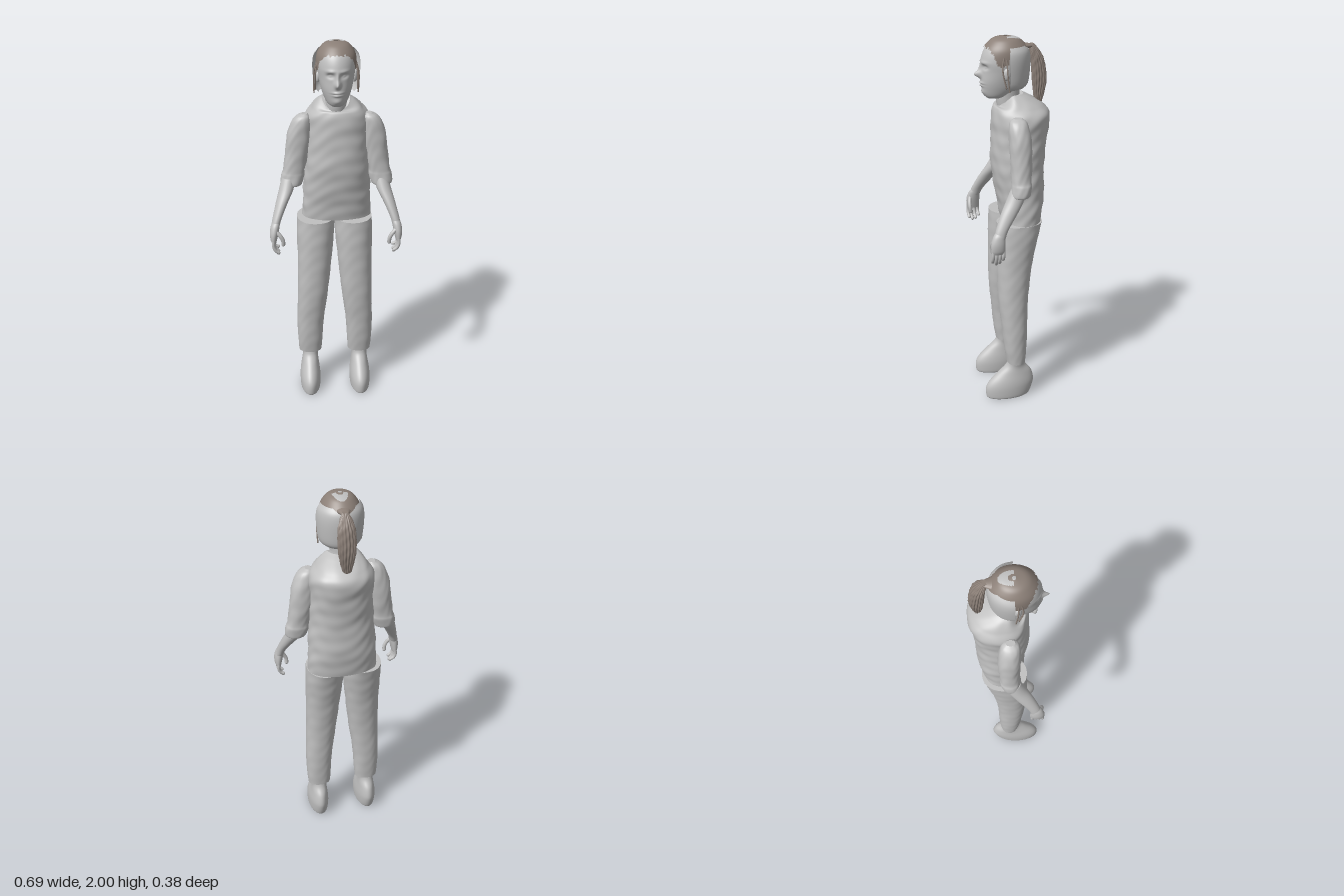
import * as THREE from 'three';

const clay = new THREE.MeshStandardMaterial({ color: 0xc0c0c0, side: THREE.DoubleSide });
clay.name = 'clay grey';
const brown = new THREE.MeshStandardMaterial({ color: 0x8c8078, side: THREE.DoubleSide });
brown.name = 'hair brown';

// Lofts rounded cross-sections [y, cx, cz, rx, rz], listed from the bottom up.
// warp moves each point; sort returns 0 or 1 (material) or -1 (no face).
function loft(sections, { rows = 40, seg = 40, power = 2, warp, sort, caps = true } = {}) {
  const centre = new THREE.CatmullRomCurve3(sections.map(s => new THREE.Vector3(s[1], s[0], s[2])), false, 'catmullrom');
  const radius = new THREE.CatmullRomCurve3(sections.map(s => new THREE.Vector3(s[3], 0, s[4])), false, 'catmullrom');
  const pos = [], lists = [[], []];
  const curl = v => Math.sign(v) * Math.pow(Math.abs(v), 2 / power);
  for (let i = 0; i <= rows; i++) {
    const c = centre.getPoint(i / rows), r = radius.getPoint(i / rows);
    for (let j = 0; j < seg; j++) {
      const a = j / seg * Math.PI * 2;
      const p = new THREE.Vector3(c.x + r.x * curl(Math.cos(a)), c.y, c.z + r.z * curl(Math.sin(a)));
      if (warp) warp(p, a, c);
      pos.push(p.x, p.y, p.z);
    }
  }
  for (let i = 0; i < rows; i++) for (let j = 0; j < seg; j++) {
    const a = i * seg + j, b = i * seg + (j + 1) % seg, c = a + seg, d = b + seg;
    const k = sort ? sort(pos[a * 3], pos[a * 3 + 1], pos[a * 3 + 2]) : 0;
    if (k >= 0) lists[k].push(a, c, b, b, c, d);
  }
  if (caps) for (const row of [0, rows]) {
    const start = pos.length / 3, mid = [0, 0, 0];
    for (let j = 0; j < seg; j++) for (let k = 0; k < 3; k++) {
      const v = pos[(row * seg + j) * 3 + k];
      pos.push(v);
      mid[k] += v / seg;
    }
    pos.push(...mid);
    for (let j = 0; j < seg; j++) {
      const a = start + j, b = start + (j + 1) % seg, m = start + seg;
      lists[0].push(...(row ? [a, m, b] : [a, b, m]));
    }
  }
  const g = new THREE.BufferGeometry();
  g.setAttribute('position', new THREE.Float32BufferAttribute(pos, 3));
  g.setIndex([...lists[0], ...lists[1]]);
  if (lists[1].length) {
    g.addGroup(0, lists[0].length, 0);
    g.addGroup(lists[0].length, lists[1].length, 1);
  }
  g.computeVertexNormals();
  return g;
}

// Soft cloth folds pushed outwards from the section centre.
const folds = amount => (p, a, c) => {
  const n = Math.sin(p.y * 62 + 2.2 * Math.sin(a * 3)) * Math.sin(a * 5 + p.y * 17) + 0.5 * Math.sin(p.y * 37 + a * 4);
  const k = 1 + amount * n;
  p.x = c.x + (p.x - c.x) * k;
  p.z = c.z + (p.z - c.z) * k;
};
const bump = (x, y, wx, wy) => Math.exp(-((x / wx) ** 2) - ((y / wy) ** 2));

const headSections = [
  [1.69, .006, .085, .03, .04], [1.705, .006, .07, .05, .07], [1.74, .006, .05, .068, .102],
  [1.78, .006, .044, .08, .113], [1.83, .006, .035, .09, .119], [1.88, .006, .033, .095, .123],
  [1.93, .006, .03, .09, .11], [1.965, .006, .03, .07, .082], [1.985, .006, .03, .045, .052],
  [1.994, .006, .03, .004, .004],
];

// Nose, eye sockets, brow, lips and chin.
function face(p) {
  if (p.z < 0.09) return;
  const x = p.x - 0.006, y = p.y, ax = Math.abs(x);
  p.z += 0.034 * bump(x, y - 1.813, .013, .017) + 0.013 * bump(x, y - 1.84, .009, .025)
    + 0.009 * bump(x, y - 1.77, .025, .006) + 0.008 * bump(x, y - 1.757, .02, .006)
    - 0.006 * bump(x, y - 1.7635, .026, .003) + 0.007 * bump(x, y - 1.722, .025, .015)
    - 0.015 * bump(ax - .034, y - 1.853, .018, .011) + 0.008 * bump(ax - .034, y - 1.852, .01, .005)
    + 0.005 * bump(ax - .034, y - 1.876, .024, .008);
}

export function createModel() {
  const model = new THREE.Group();
  const add = (name, geometry, material = clay, parent = model) => {
    const m = new THREE.Mesh(geometry, material);
    m.name = name;
    parent.add(m);
    return m;
  };
  const rod = (name, points, r, material = clay) => {
    const path = new THREE.CatmullRomCurve3(points.map(p => new THREE.Vector3(...p)));
    add(name, new THREE.TubeGeometry(path, 10, r, 10), material);
    const tip = add(name + 'Tip', new THREE.SphereGeometry(r, 10, 8), material);
    tip.position.set(...points[points.length - 1]);
  };

  // Shirt body with a collar that dips at the front
  const shirtFolds = folds(0.014);
  add('shirt', loft([
    [1.04, .013, -.043, .183, .102], [1.12, .013, -.042, .18, .115], [1.2, .013, -.038, .177, .126],
    [1.35, .015, -.028, .167, .136], [1.5, .016, -.037, .16, .143], [1.6, .016, -.045, .163, .147],
    [1.65, .013, -.036, .13, .127], [1.69, .008, -.012, .096, .086], [1.71, .006, .005, .072, .062],
  ], {
    rows: 90, seg: 72, power: 2.25,
    warp: (p, a, c) => {
      shirtFolds(p, a, c);
      p.y -= 0.05 * THREE.MathUtils.smoothstep(p.y, 1.64, 1.71) * THREE.MathUtils.smoothstep(p.z, 0, .07);
    },
  }));

  // Head, neck and ears
  add('neck', loft([[1.6, .006, 0, .06, .065], [1.68, .006, .018, .055, .062], [1.77, .006, .02, .058, .062]], { rows: 10 }));
  add('head', loft(headSections, { rows: 90, seg: 110, warp: face }));
  for (const s of [1, -1]) {
    const ear = add('ear', new THREE.SphereGeometry(1, 16, 12));
    ear.scale.set(.012, .03, .018);
    ear.position.set(.006 + s * .093, 1.825, .045);
    ear.rotation.y = s * -.3;
  }

  // Hair over the top and temples, with a bare arch at the crown
  const hairline = (x, z) => {
    const jag = .006 * Math.sin(x * 310) + .004 * Math.sin(z * 420);
    if (z < 0.03) return 1.93;
    return 1.862 + .085 * THREE.MathUtils.smoothstep(z, .07, .13) + jag;
  };
  const crown = (x, z) => {
    const d = ((x - .008) / .04) ** 2 + ((z - .03) / .075) ** 2;
    const hole = ((x - .008) / .02) ** 2 + ((z - .03) / .03) ** 2;
    return z < .03 && d < 1 && hole > 1;
  };
  add('hairTop', loft(headSections.map(([y, x, z, rx, rz]) => [y + .006, x, z, rx + .006, rz + .005]), {
    rows: 120, seg: 110, caps: false,
    sort: (x, y, z) => y < hairline(x, z) ? -1 : crown(x, z) ? 1 : 0,
  }), [brown, clay]);

  // Smooth shell round the back of the head
  const shellProfile = new THREE.SplineCurve([
    [.088, 1.74], [.108, 1.765], [.117, 1.83], [.119, 1.89], [.112, 1.93], [.094, 1.955],
  ].map(p => new THREE.Vector2(...p))).getPoints(20);
  const shell = add('backHairShell', new THREE.LatheGeometry(shellProfile, 40, Math.PI / 2, Math.PI));
  shell.position.set(.007, 0, .03);
  shell.scale.z = 1.05;

  // Loose strands beside the face
  for (const s of [1, -1]) {
    rod('sideStrand', [[.006 + s * .094, 1.91, .06], [.006 + s * .104, 1.85, .068], [.006 + s * .106, 1.76, .05]], .004, brown);
    rod('sideStrand', [[.006 + s * .098, 1.9, .045], [.006 + s * .112, 1.84, .045], [.006 + s * .111, 1.74, .035]], .0035, brown);
  }

  // Ponytail with ridged strands, and its gathered root
  add('ponytail', loft([
    [1.63, .01, -.138, .008, .008], [1.67, .01, -.14, .024, .021], [1.77, .01, -.144, .042, .035],
    [1.87, .01, -.134, .042, .032], [1.92, .01, -.118, .03, .024], [1.955, .01, -.102, .014, .012],
  ], {
    rows: 40, seg: 112,
    warp: (p, a, c) => {
      const k = 1 + .07 * Math.cos(a * 16 + Math.sin(p.y * 25)) + .03 * Math.sin(p.y * 130 + a * 5);
      p.x = c.x + (p.x - c.x) * k;
      p.z = c.z + (p.z - c.z) * k;
    },
  }), brown);
  const root = add('ponytailRoot', new THREE.CylinderGeometry(.018, .045, .06, 20), brown);
  root.rotation.x = -Math.PI / 2;
  root.scale.z = .45;
  root.position.set(.01, 1.945, -.075);

  for (const s of [1, -1]) {
    const side = s > 0 ? 'left' : 'right';
    const mirrored = (list, shift = 0) => list.map(([y, x, z, rx, rz]) => [y, s * x + shift, z, rx, rz]);

    // Trouser leg
    add(side + 'TrouserLeg', loft(mirrored([
      [.215, .138, .006, .063, .05], [.3, .138, .01, .069, .06], [.42, .135, .013, .074, .068],
      [.6, .121, .018, .083, .08], [.8, .109, .008, .092, .094], [.95, .103, -.008, .1, .11],
      [1.04, .1, -.02, .1, .119],
    ]), { rows: 60, power: 2.2, warp: folds(.01) }));

    // Shoe
    add(side + 'Shoe', loft(mirrored([
      [0, .141, .055, .048, .113], [.012, .141, .053, .055, .123], [.06, .141, .045, .057, .132],
      [.1, .141, .032, .054, .124], [.15, .14, .014, .046, .092], [.19, .139, .008, .043, .055],
      [.225, .138, .008, .05, .042],
    ]), { rows: 30 }));

    // Sleeve ending in a rolled cuff
    add(side + 'Sleeve', loft(mirrored([
      [1.235, .234, .012, .046, .042], [1.245, .236, .01, .056, .05], [1.29, .228, .004, .061, .052],
      [1.32, .222, .003, .057, .05], [1.4, .207, 0, .06, .054], [1.5, .195, .001, .061, .056],
      [1.57, .182, .005, .052, .051], [1.605, .172, .007, .038, .042], [1.622, .164, .008, .016, .022],
    ], .01), { rows: 50, power: 2.2, warp: folds(.022) }));

    // Forearm and palm
    add(side + 'Forearm', loft(mirrored([
      [1.045, .318, .135, .022, .029], [1.09, .306, .118, .024, .033], [1.16, .28, .077, .031, .043],
      [1.22, .255, .04, .038, .046], [1.28, .24, .015, .037, .04],
    ]), { rows: 24, seg: 28 }));
    add(side + 'Palm', loft(mirrored([
      [.965, .325, .144, .012, .032], [.985, .326, .144, .018, .036], [1.02, .323, .143, .023, .037],
      [1.055, .317, .138, .023, .031], [1.075, .311, .13, .02, .026],
    ]), { rows: 18, seg: 28 }));

    // Curled fingers and thumb
    for (let i = 0; i < 4; i++) {
      const z = .171 - i * .018, drop = [.915, .903, .908, .925][i];
      rod(side + 'Finger', [[s * .326, .985, z], [s * .328, .952, z], [s * .318, (drop + .95) / 2 - .005, z], [s * .303, drop, z - .002]], .0088);
    }
    rod(side + 'Thumb', [[s * .316, 1.035, .16], [s * .292, 1.01, .168], [s * .278, .982, .168], [s * .277, .96, .165]], .0105);
  }
  return model;
}
